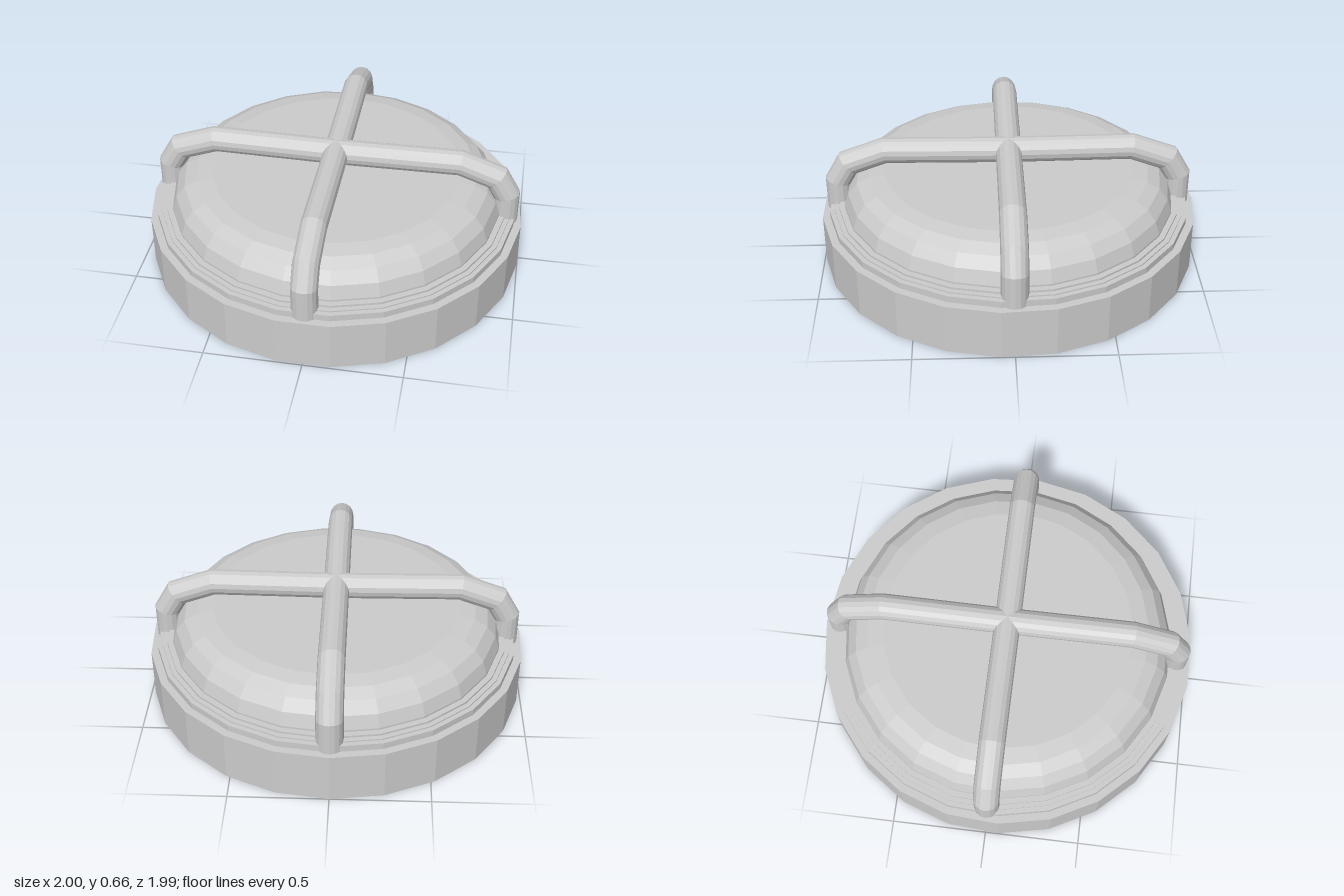
import * as THREE from 'three';

const SIDES = 23;

function makeMaterial() {
  return new THREE.MeshStandardMaterial({ color: 0xcccccc, flatShading: true });
}

// Faceted turned part from [radius, height] points, with a corner at the back
function turned(name, profile) {
  const points = profile.map(([r, y]) => new THREE.Vector2(r, y));
  const geometry = new THREE.LatheGeometry(points, SIDES);
  geometry.rotateY(Math.PI);
  const mesh = new THREE.Mesh(geometry, makeMaterial());
  mesh.name = name;
  return mesh;
}

// Round bar along a flat path in x and y, with mitred bends
function mitredBar(path, radius, sides) {
  const geometry = new THREE.CylinderGeometry(1, 1, 1, sides, path.length - 1, true);
  const position = geometry.attributes.position;
  const normals = path.slice(1).map((p, i) => {
    const d = p.clone().sub(path[i]).normalize();
    return new THREE.Vector2(-d.y, d.x);
  });
  // Each row of the cylinder moves to one path point, in the plane of the mitre
  const mitres = path.map((_, i) => {
    const a = normals[Math.max(i - 1, 0)];
    const b = normals[Math.min(i, normals.length - 1)];
    const m = a.clone().add(b).normalize();
    return m.divideScalar(m.dot(a));
  });
  for (let k = 0; k < position.count; k++) {
    const row = Math.floor(k / (sides + 1));
    const across = position.getX(k) * radius;
    position.setXYZ(
      k,
      path[row].x + mitres[row].x * across,
      path[row].y + mitres[row].y * across,
      position.getZ(k) * radius
    );
  }
  geometry.computeVertexNormals();
  return geometry;
}

export function createModel() {
  const model = new THREE.Group();
  model.name = 'bulkheadLamp';

  // Solid base drum
  model.add(turned('base', [[0, 0], [1, 0], [1, 0.267], [0, 0.267]]));

  // Stepped collar around the lens
  model.add(turned('collar', [
    [0.96, 0.267], [0.96, 0.302], [0.935, 0.302], [0.935, 0.309],
    [0.91, 0.309], [0.91, 0.32], [0.86, 0.32],
  ]));

  // Domed lens with a flat top
  model.add(turned('lens', [
    [0.88, 0.3], [0.88, 0.33], [0.857, 0.4], [0.81, 0.457],
    [0.745, 0.49], [0.66, 0.503], [0, 0.503],
  ]));

  // Two crossing guard bars
  const half = [[0.907, 0.262], [0.907, 0.425], [0.85, 0.524], [0.655, 0.595]];
  const path = [
    ...half.map(([x, y]) => new THREE.Vector2(-x, y)),
    new THREE.Vector2(0, 0.588),
    ...half.slice().reverse().map(([x, y]) => new THREE.Vector2(x, y)),
  ];
  const barGeometry = mitredBar(path, 0.068, 16);
  const guard = new THREE.Group();
  guard.name = 'guard';
  for (const [name, turn] of [['crossBar', 0], ['lengthBar', Math.PI / 2]]) {
    const bar = new THREE.Mesh(barGeometry, makeMaterial());
    bar.name = name;
    bar.rotation.y = turn;
    guard.add(bar);
  }
  model.add(guard);

  return model;
}
